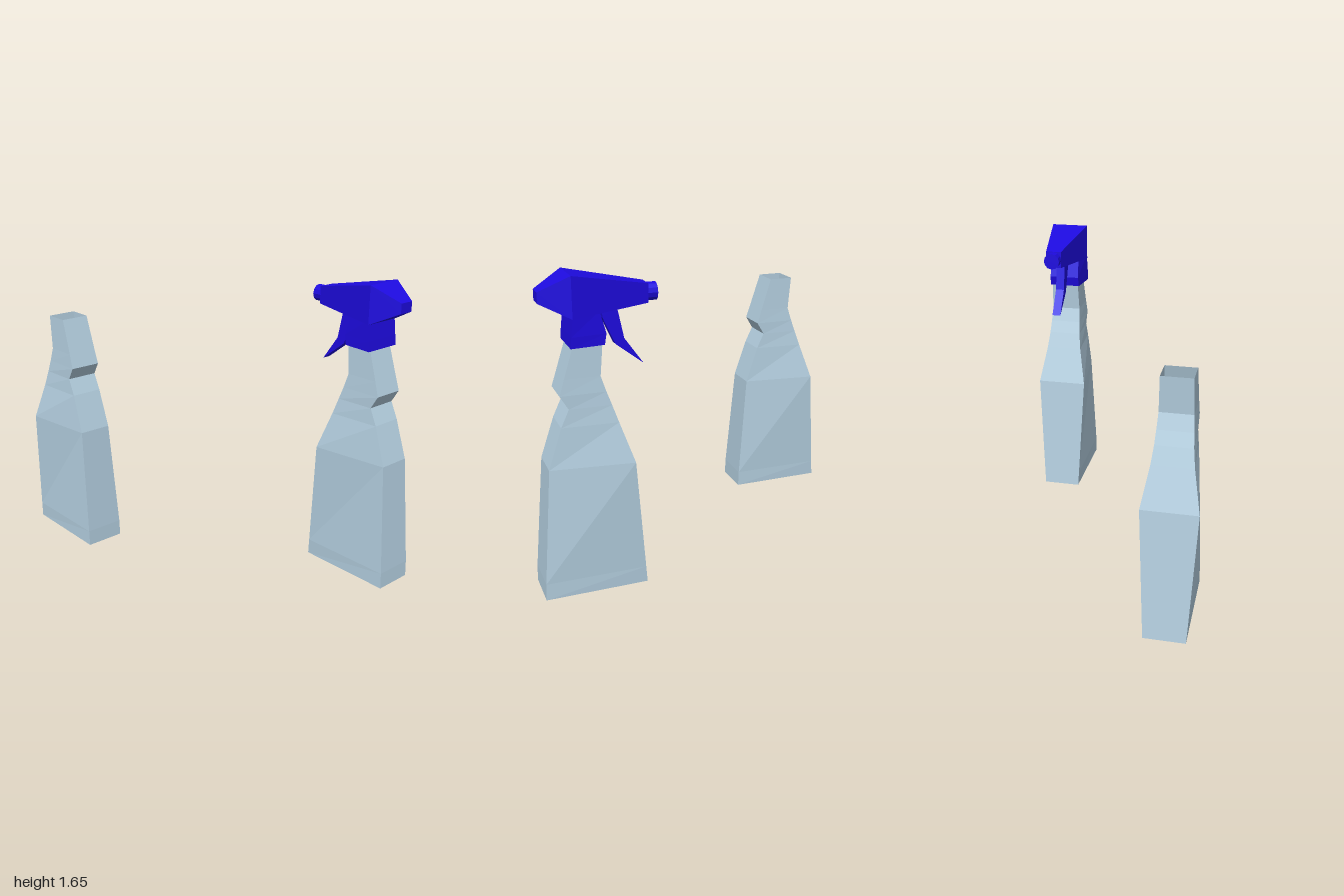
import * as THREE from 'three';

const plastic = new THREE.MeshStandardMaterial({ color: 0xb4cfe0, flatShading: true, side: THREE.DoubleSide });
const blue = new THREE.MeshStandardMaterial({ color: 0x1e0be0, flatShading: true, side: THREE.DoubleSide });
const cyan = new THREE.MeshStandardMaterial({ color: 0x10b8cc });

// Skin four-cornered rings, each counter-clockwise seen from the end of the sweep
function loft(rings, capEnd = true) {
  const pos = [];
  const quad = (a, b, c, d) => pos.push(...a, ...b, ...c, ...a, ...c, ...d);
  for (let i = 0; i < rings.length - 1; i++) {
    for (let j = 0; j < 4; j++) {
      const k = (j + 1) % 4;
      quad(rings[i][j], rings[i][k], rings[i + 1][k], rings[i + 1][j]);
    }
  }
  const [a, b, c, d] = rings[0];
  quad(d, c, b, a);
  if (capEnd) quad(...rings[rings.length - 1]);
  const geo = new THREE.BufferGeometry();
  geo.setAttribute('position', new THREE.Float32BufferAttribute(pos, 3));
  geo.computeVertexNormals();
  return geo;
}

// Level ring: trapezoid with its own half depth at the -x and +x ends
const level = ([y, x0, h0, x1, h1]) => [[x0, y, h0], [x1, y, h1], [x1, y, -h1], [x0, y, -h0]];
// Upright rectangle facing along x
const upright = ([x, y0, y1, h]) => [[x, y0, h], [x, y0, -h], [x, y1, -h], [x, y1, h]];

function add(group, name, geo, mat) {
  const mesh = new THREE.Mesh(geo, mat);
  mesh.name = name;
  group.add(mesh);
  return mesh;
}

// Open-necked bottle with a finger notch on the +x side
function makeBottle() {
  const levels = [
    [0, -0.27, 0.11, 0.268, 0.11],
    [0.09, -0.262, 0.115, 0.265, 0.11],
    [0.7, -0.21, 0.145, 0.215, 0.092],
    [0.91, -0.14, 0.106, 0.145, 0.088],
    [1.0, -0.11, 0.095, 0.103, 0.087],
    [1.07, -0.085, 0.09, 0.145, 0.087],
    [1.15, -0.06, 0.085, 0.12, 0.084],
    [1.34, -0.078, 0.08, 0.06, 0.08],
  ];
  const bottle = new THREE.Group();
  add(bottle, 'bottleBody', loft(levels.map(level), false), plastic);
  return bottle;
}

// Trigger sprayer, in the same local frame as the bottle
function makeSprayer() {
  const sprayer = new THREE.Group();
  sprayer.name = 'sprayer';

  // Head widens towards the back, then tapers to a small end
  add(sprayer, 'sprayHead', loft([
    [-0.32, 1.48, 1.575, 0.045],
    [0.07, 1.445, 1.65, 0.108],
    [0.218, 1.518, 1.572, 0.042],
  ].map(upright)), blue);

  // Collar gripping the neck
  add(sprayer, 'collar', loft([
    [1.305, -0.085, 0.09, 0.085, 0.108],
    [1.36, -0.095, 0.088, 0.08, 0.108],
    [1.47, -0.065, 0.085, 0.067, 0.106],
  ].map(level)), blue);

  // Round nozzle
  const nozzle = add(sprayer, 'nozzle', new THREE.CylinderGeometry(0.046, 0.046, 0.06, 12), blue);
  nozzle.rotation.z = Math.PI / 2;
  nozzle.position.set(-0.34, 1.527, 0);

  // Bent trigger lever
  const outline = [[-0.165, 1.48], [-0.2, 1.31], [-0.295, 1.175], [-0.155, 1.285], [-0.095, 1.42], [-0.09, 1.48]];
  const shape = new THREE.Shape(outline.map(([x, y]) => new THREE.Vector2(x, y)));
  const lever = new THREE.ExtrudeGeometry(shape, { depth: 0.05, bevelEnabled: false });
  add(sprayer, 'trigger', lever.translate(0, 0, -0.025), blue);
  return sprayer;
}

export function createModel() {
  const model = new THREE.Group();
  model.name = 'sprayBottles';

  const open = makeBottle();
  open.name = 'openBottle';
  open.position.set(-0.73, 0, 0.46);
  // Shallow pool of liquid left in the bottom
  const liquid = add(open, 'liquid', new THREE.SphereGeometry(1, 24, 8, 0, Math.PI * 2, 0, Math.PI / 2), cyan);
  liquid.scale.set(0.262, 0.05, 0.105);
  liquid.position.set(-0.005, 0.005, 0);

  const capped = makeBottle();
  capped.name = 'sprayerBottle';
  capped.position.set(0.73, 0, -0.46);
  capped.add(makeSprayer());

  model.add(open, capped);
  return model;
}
